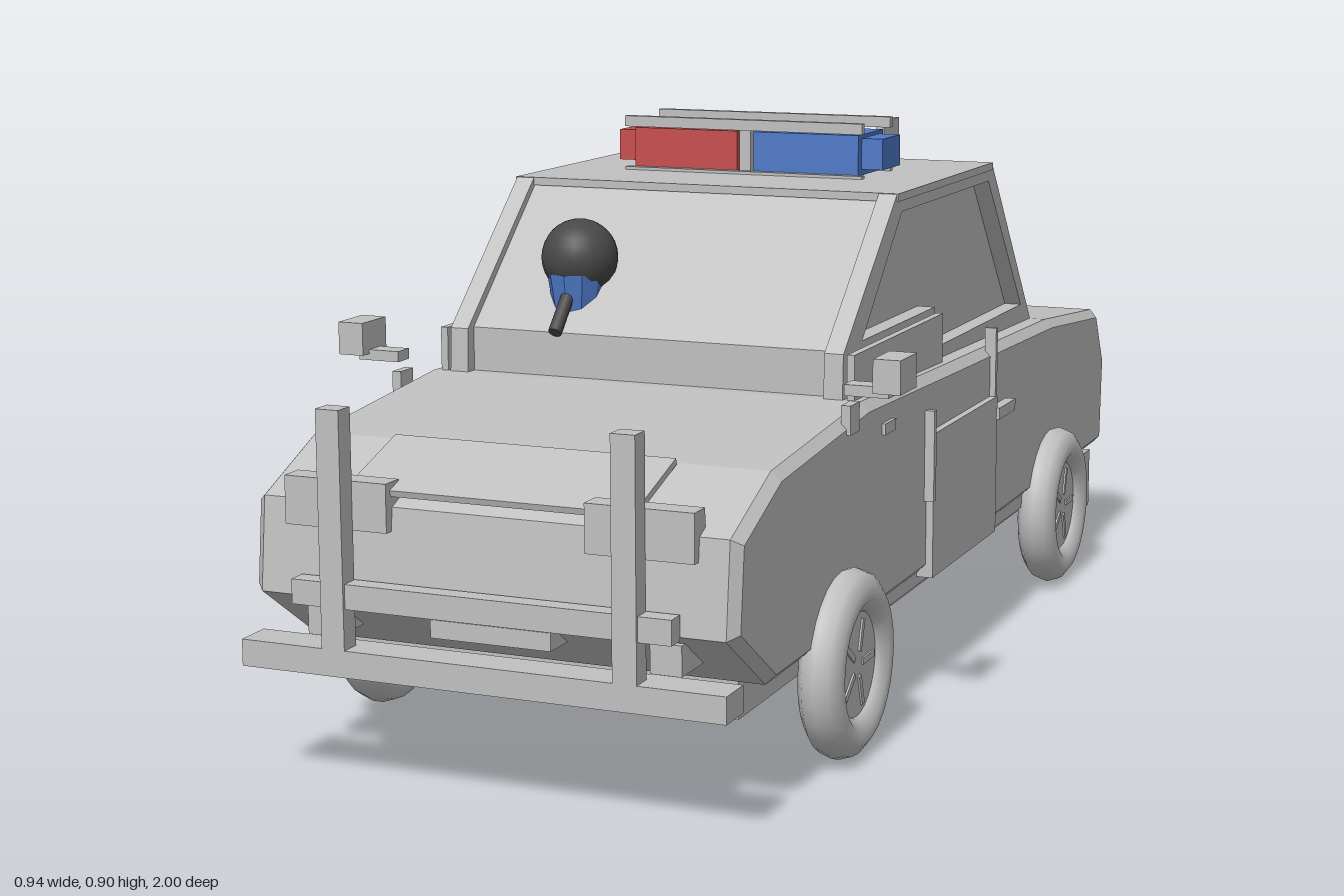
import * as THREE from 'three';

const mat = (name, color) => Object.assign(new THREE.MeshStandardMaterial({ color, flatShading: true }), { name });

export function createModel() {
  const grey = mat('bodyGrey', 0xc0c0c0);
  const smoothGrey = new THREE.MeshStandardMaterial({ color: 0xc0c0c0 });
  smoothGrey.name = 'tyreGrey';
  const red = mat('lampRed', 0xc84e4e);
  const blue = mat('lampBlue', 0x4f79c8);
  const dark = new THREE.MeshStandardMaterial({ color: 0x484848 });
  dark.name = 'darkGrey';

  const car = new THREE.Group();
  car.name = 'patrolCar';

  const add = (name, geo, material) => {
    const m = new THREE.Mesh(geo, material);
    m.name = name;
    car.add(m);
    return m;
  };
  // Box given by its extents on each axis
  const box = (name, [x0, x1], [y0, y1], [z0, z1], material = grey) => {
    const g = new THREE.BoxGeometry(x1 - x0, y1 - y0, z1 - z0);
    g.translate((x0 + x1) / 2, (y0 + y1) / 2, (z0 + z1) / 2);
    return add(name, g, material);
  };
  // The same box on both sides of the car
  const pair = (name, [x0, x1], y, z, material) => {
    box(name + 'Left', [x0, x1], y, z, material);
    box(name + 'Right', [-x1, -x0], y, z, material);
  };
  // Side profile of [z, y] points extruded across x
  const profile = (name, pts, x0, x1, bevel = 0, hole = null) => {
    const v = (list) => list.map(([z, y]) => new THREE.Vector2(z, y));
    const shape = new THREE.Shape(v(pts));
    if (hole) shape.holes.push(new THREE.Path(v(hole)));
    const depth = x1 - x0 - 2 * bevel;
    const g = new THREE.ExtrudeGeometry(shape, {
      depth, bevelEnabled: bevel > 0, bevelSize: bevel, bevelThickness: bevel,
      bevelOffset: -bevel, bevelSegments: 1,
    });
    g.translate(0, 0, -depth / 2);
    g.rotateY(-Math.PI / 2);
    g.translate((x0 + x1) / 2, 0, 0);
    return add(name, g, grey);
  };

  // Lower body and floor
  profile('body', [
    [0.82, 0.185], [0.965, 0.285], [0.95, 0.425], [0.8, 0.49], [0.43, 0.522], [0, 0.51],
    [-0.59, 0.495], [-0.92, 0.465], [-0.98, 0.36], [-0.97, 0.19],
  ], -0.38, 0.38, 0.015);
  box('floorPan', [-0.32, 0.32], [0.125, 0.2], [-0.84, 0.81]);
  pair('sill', [0.31, 0.365], [0.165, 0.2], [-0.46, 0.42]);

  // Cabin: recessed glass core, roof and side frames
  profile('cabinGlass', [
    [0.405, 0.49], [0.405, 0.592], [0.172, 0.802], [-0.325, 0.802], [-0.59, 0.48],
  ], -0.306, 0.306);
  const frame = [[0.43, 0.49], [0.425, 0.592], [0.18, 0.81], [-0.335, 0.81], [-0.602, 0.485]];
  const opening = [[0.34, 0.6], [0.155, 0.78], [-0.315, 0.78], [-0.53, 0.53], [-0.02, 0.53], [-0.02, 0.6]];
  profile('sideFrameLeft', frame, 0.305, 0.336, 0, opening);
  profile('sideFrameRight', frame, -0.336, -0.305, 0, opening);
  box('roof', [-0.338, 0.338], [0.798, 0.811], [-0.335, 0.18]);
  pair('windowPanel', [0.342, 0.354], [0.49, 0.592], [-0.01, 0.425]);

  // Doors with hinge posts and handles
  pair('door', [0.36, 0.392], [0.18, 0.42], [-0.205, 0.147]);
  pair('frontDoorPost', [0.37, 0.396], [0.31, 0.46], [0.146, 0.158]);
  pair('rearDoorPost', [0.37, 0.39], [0.32, 0.54], [-0.208, -0.198]);
  pair('doorHandle', [0.37, 0.398], [0.38, 0.4], [-0.295, -0.2]);
  pair('fenderMarker', [0.37, 0.386], [0.46, 0.478], [0.32, 0.37]);

  // Door mirrors
  pair('mirrorArm', [0.375, 0.445], [0.55, 0.567], [0.495, 0.53]);
  pair('mirrorHead', [0.427, 0.47], [0.56, 0.612], [0.475, 0.55]);
  pair('mirrorFoot', [0.371, 0.386], [0.49, 0.535], [0.49, 0.53]);

  // Nose: headlights, bonnet lip, number plate
  pair('headlight', [0.155, 0.32], [0.39, 0.462], [0.93, 0.968]);
  const lip = box('bonnetLip', [-0.225, 0.225], [-0.005, 0.005], [-0.077, 0.077]);
  lip.position.set(0, 0.47, 0.882);
  lip.rotation.x = 0.32;
  box('frontPlate', [-0.095, 0.095], [0.24, 0.267], [0.9, 0.955]);

  // Push bar and bumper
  box('bumper', [-0.38, 0.38], [0.18, 0.22], [0.94, 1]);
  box('pushBarRail', [-0.297, 0.297], [0.28, 0.317], [0.965, 0.995]);
  pair('pushBarPost', [0.21, 0.247], [0.21, 0.57], [0.967, 1]);
  pair('bumperBracket', [0.247, 0.295], [0.225, 0.27], [0.88, 0.955]);

  // Tail: lamps, reflectors, plate, high strip and rear mirror
  pair('tailHousing', [0.16, 0.345], [0.405, 0.422], [-0.99, -0.95]);
  pair('tailLamp', [0.175, 0.285], [0.345, 0.405], [-1, -0.96], red);
  pair('tailReflector', [0.18, 0.275], [0.305, 0.335], [-0.988, -0.96], dark);
  box('rearPlate', [-0.095, 0.095], [0.27, 0.325], [-0.986, -0.96]);
  box('highBrakeLight', [-0.15, 0.15], [0.555, 0.575], [-0.858, -0.842], red);
  box('rearMirror', [-0.008, 0.008], [0.793, 0.842], [-0.79, -0.7]);
  pair('mudFlap', [0.372, 0.39], [0.09, 0.2], [-0.845, -0.72]);

  // Roof light bar
  for (const [side, material, s] of [['Left', blue, 1], ['Right', red, -1]]) {
    const span = (a, b) => (s > 0 ? [a, b] : [-b, -a]);
    box('beacon' + side, span(0.015, 0.203), [0.814, 0.882], [-0.133, -0.008], material);
    box('beaconEnd' + side, span(0.203, 0.24), [0.824, 0.876], [-0.115, -0.025], material);
  }
  box('beaconDivider', [-0.01, 0.01], [0.81, 0.89], [-0.133, -0.008]);
  for (const z of [-0.142, 0.002]) {
    box('beaconTopRail', [-0.215, 0.215], [0.885, 0.903], [z - 0.007, z + 0.007]);
    box('beaconBaseRail', [-0.215, 0.215], [0.805, 0.816], [z - 0.007, z + 0.007]);
  }

  // Driver leaning through the windscreen
  add('driverHead', new THREE.SphereGeometry(0.062, 24, 16), dark).position.set(-0.154, 0.703, 0.322);
  add('driverBody', new THREE.CylinderGeometry(0.048, 0.034, 0.09, 10), blue).position.set(-0.154, 0.635, 0.335);
  const tube = new THREE.LineCurve3(new THREE.Vector3(-0.154, 0.67, 0.345), new THREE.Vector3(-0.154, 0.594, 0.418));
  add('breathingTube', new THREE.TubeGeometry(tube, 1, 0.011, 10), dark);
  const cap = add('breathingTubeEnd', new THREE.CircleGeometry(0.011, 10), dark);
  cap.position.copy(tube.v2);
  cap.rotation.x = 0.8;

  // Wheels
  for (const s of [1, -1]) {
    for (const z of [0.548, -0.59]) {
      const wheel = new THREE.Group();
      wheel.name = (z > 0 ? 'front' : 'rear') + 'Wheel' + (s > 0 ? 'Left' : 'Right');
      const tyre = new THREE.Mesh(new THREE.TorusGeometry(0.11, 0.035, 10, 28), smoothGrey);
      tyre.name = 'tyre';
      const hub = new THREE.Mesh(new THREE.CylinderGeometry(0.084, 0.084, 0.034, 24).rotateX(Math.PI / 2), grey);
      hub.name = 'hub';
      wheel.add(tyre, hub);
      for (let i = 0; i < 5; i++) {
        const a = (i / 5) * Math.PI * 2;
        const spoke = new THREE.Mesh(new THREE.BoxGeometry(0.05, 0.01, 0.04), grey);
        spoke.name = 'spoke';
        spoke.position.set(Math.cos(a) * 0.045, Math.sin(a) * 0.045, 0);
        spoke.rotation.z = a;
        wheel.add(spoke);
      }
      wheel.position.set(s * 0.389, 0.145, z);
      wheel.rotation.y = Math.PI / 2;
      car.add(wheel);
    }
  }
  return car;
}
